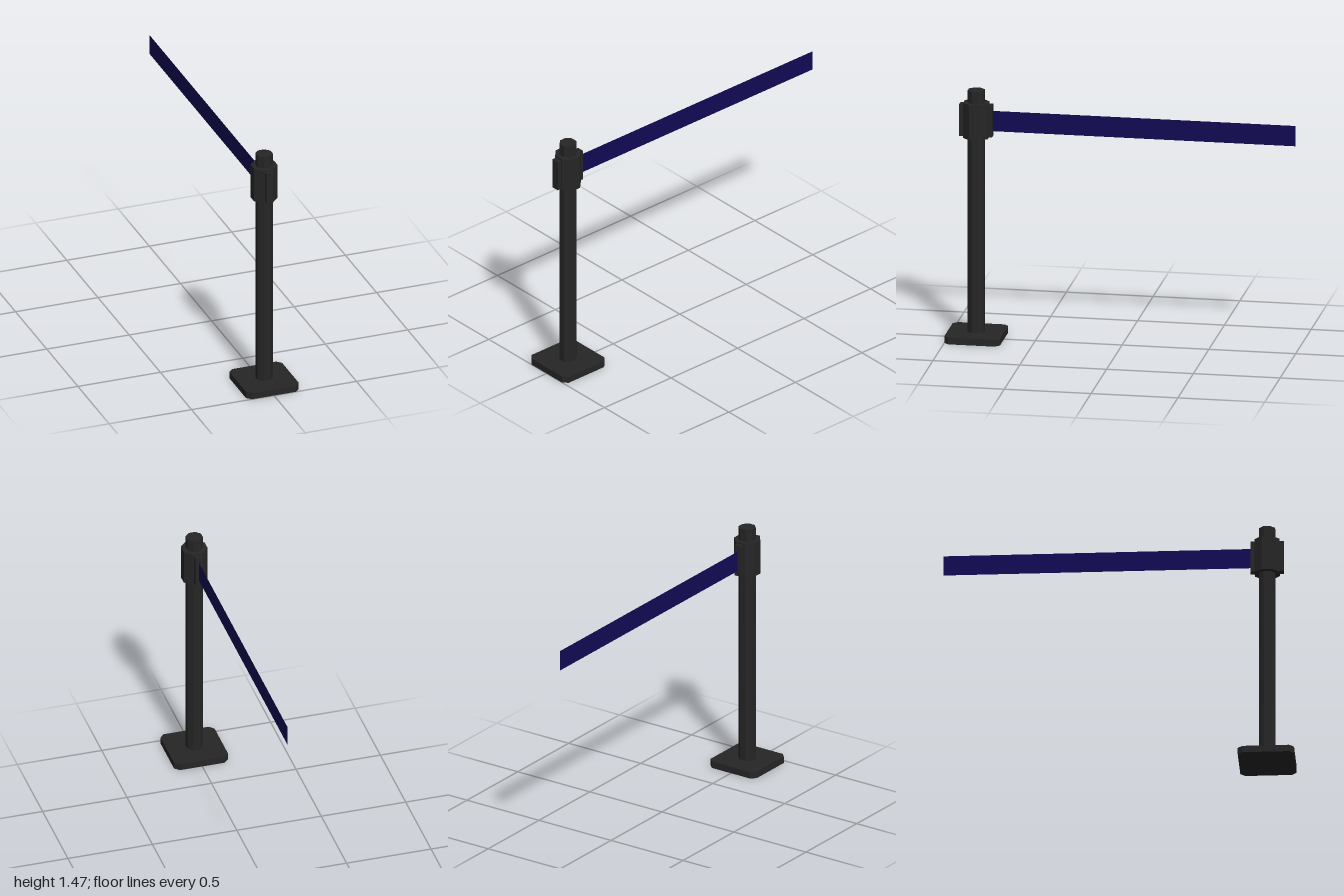
import * as THREE from 'three';

const POST_Z = 0.84;

export function createModel() {
  const model = new THREE.Group();
  const black = new THREE.MeshStandardMaterial({ color: 0x262626, flatShading: true });
  const blue = new THREE.MeshStandardMaterial({ color: 0x120a55, side: THREE.DoubleSide });

  const add = (name, geometry, material, x, y, z) => {
    const mesh = new THREE.Mesh(geometry, material);
    mesh.name = name;
    mesh.position.set(x, y, z);
    model.add(mesh);
  };

  // Octagonal prism with flats facing the axes, measured across its flats
  const octagon = (width, y0, y1) => {
    const r = width / 2 / Math.cos(Math.PI / 8);
    return new THREE.CylinderGeometry(r, r, y1 - y0, 8)
      .rotateY(Math.PI / 8)
      .translate(0, (y0 + y1) / 2, 0);
  };

  // Square foot plate with clipped corners
  const h = 0.16, c = h - 0.027;
  const outline = new THREE.Shape(
    [[c, -h], [h, -c], [h, c], [c, h], [-c, h], [-h, c], [-h, -c], [-c, -h]]
      .map(([x, y]) => new THREE.Vector2(x, y)));
  const plate = new THREE.ExtrudeGeometry(outline, { depth: 0.04, bevelEnabled: false });
  add('base', plate.rotateX(-Math.PI / 2), black, 0, 0, POST_Z);

  // Post, running through the head to the cap
  add('post', octagon(0.092, 0.04, 1.465), black, 0, 0, POST_Z);
  add('head', octagon(0.142, 1.185, 1.392), black, 0, 0, POST_Z);

  // Belt slots on the front and back of the head
  for (const [name, side] of [['frontSlot', 1], ['backSlot', -1]]) {
    add(name, new THREE.BoxGeometry(0.044, 0.187, 0.035), black, 0, 1.288, POST_Z + side * 0.0775);
  }

  // Thin belt reaching backwards
  const belt = new THREE.PlaneGeometry(1.76, 0.12).rotateY(Math.PI / 2);
  add('belt', belt, blue, 0, 1.285, -0.12);

  return model;
}
